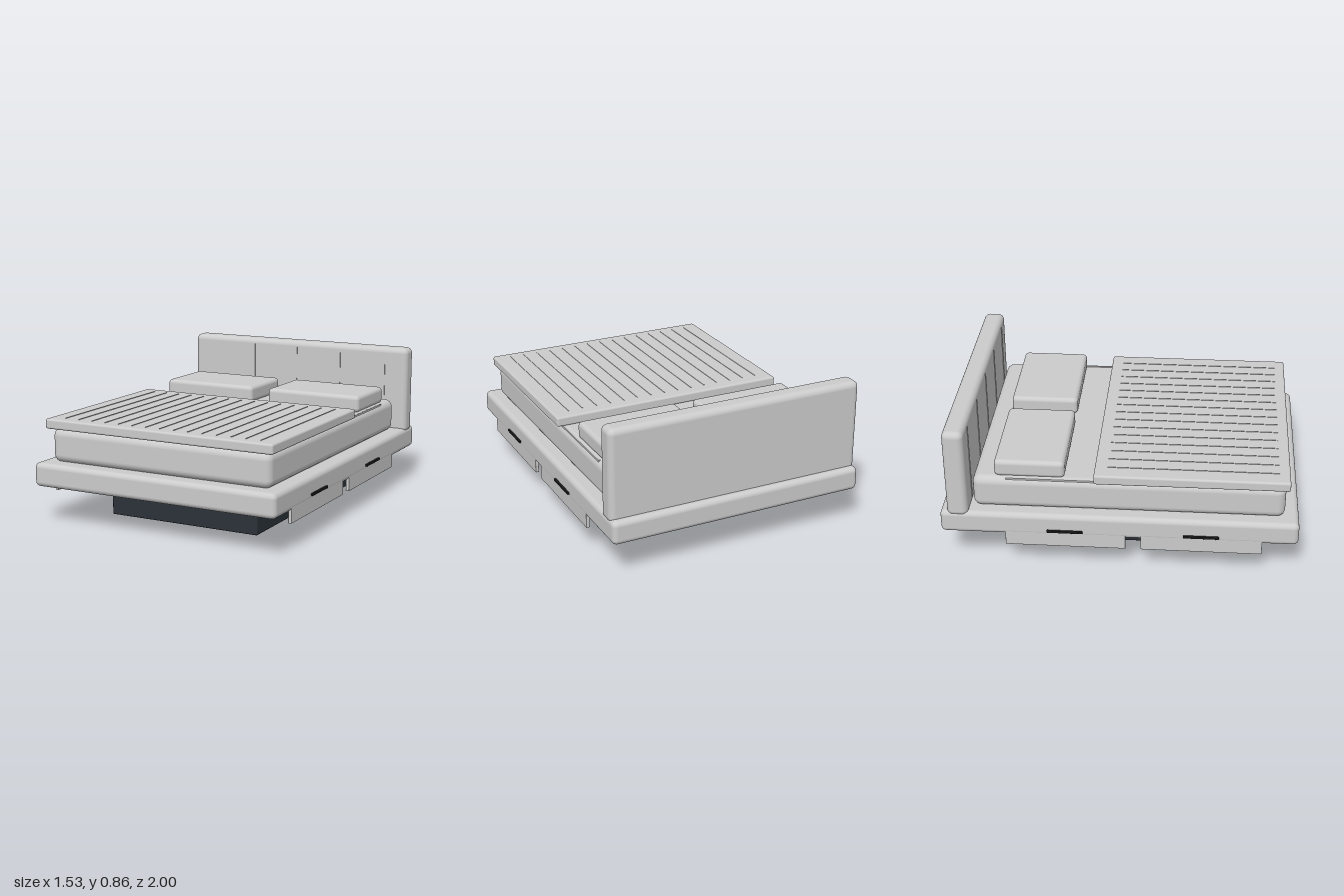
import * as THREE from 'three';
import { RoundedBoxGeometry } from 'three/addons/geometries/RoundedBoxGeometry.js';

const grey = new THREE.MeshStandardMaterial({ color: 0xcccccc });
const dark = new THREE.MeshStandardMaterial({ color: 0x2b3238 });
const black = new THREE.MeshStandardMaterial({ color: 0x1c1c1c });

// Box given by its [min, max] extents; a radius rounds its edges
function box(name, [x0, x1], [y0, y1], [z0, z1], radius = 0, material = grey) {
  const size = [x1 - x0, y1 - y0, z1 - z0];
  const geometry = radius
    ? new RoundedBoxGeometry(...size, 5, radius)
    : new THREE.BoxGeometry(...size);
  const mesh = new THREE.Mesh(geometry, material);
  mesh.name = name;
  mesh.position.set((x0 + x1) / 2, (y0 + y1) / 2, (z0 + z1) / 2);
  return mesh;
}

// Extents on one side of x = 0, mirrored when side is -1
const mirrored = (side, a, b) => (side > 0 ? [a, b] : [-b, -a]);

export function createModel() {
  const bed = new THREE.Group();
  bed.name = 'bed';

  // Base and frame
  bed.add(box('plinth', [-0.47, 0.47], [0, 0.17], [-0.635, 0.64], 0.008, dark));
  bed.add(box('frame', [-0.755, 0.755], [0.213, 0.35], [-1, 1], 0.03));

  // Headboard with vertical seams
  bed.add(box('headboard', [-0.755, 0.755], [0.32, 0.857], [-0.96, -0.84], 0.035));
  for (let i = -2; i <= 2; i++) {
    const x = i * 0.305;
    bed.add(box('headboardSeam', [x - 0.002, x + 0.002], [0.36, 0.82], [-0.845, -0.836]));
  }

  // Mattress
  bed.add(box('mattress', [-0.685, 0.685], [0.345, 0.54], [-0.82, 0.92], 0.045));

  // Blanket with lengthwise quilting ridges
  bed.add(box('blanket', [-0.71, 0.71], [0.538, 0.595], [-0.14, 0.94], 0.012));
  for (let i = -7; i <= 7; i++) {
    const x = i * 0.0875;
    bed.add(box('blanketRidge', [x - 0.002, x + 0.002], [0.59, 0.598], [-0.07, 0.88]));
  }

  for (const side of [1, -1]) {
    // Pillow and mattress piping
    bed.add(box('pillow', mirrored(side, 0.055, 0.657), [0.535, 0.635], [-0.698, -0.305], 0.025));
    bed.add(box('mattressPiping', mirrored(side, 0.662, 0.674), [0.528, 0.538], [-0.63, 0.715]));

    // Side drawers with handles
    for (const [back, front, handle] of [[0.125, 0.8, 0.46], [-0.635, 0.04, -0.3]]) {
      bed.add(box('drawerFront', mirrored(side, 0.734, 0.754), [0.148, 0.3], [back, front], 0.002));
      bed.add(box('drawerHandle', mirrored(side, 0.75, 0.767), [0.243, 0.257],
        [handle - 0.1, handle + 0.1], 0.003, black));
    }
  }
  return bed;
}
